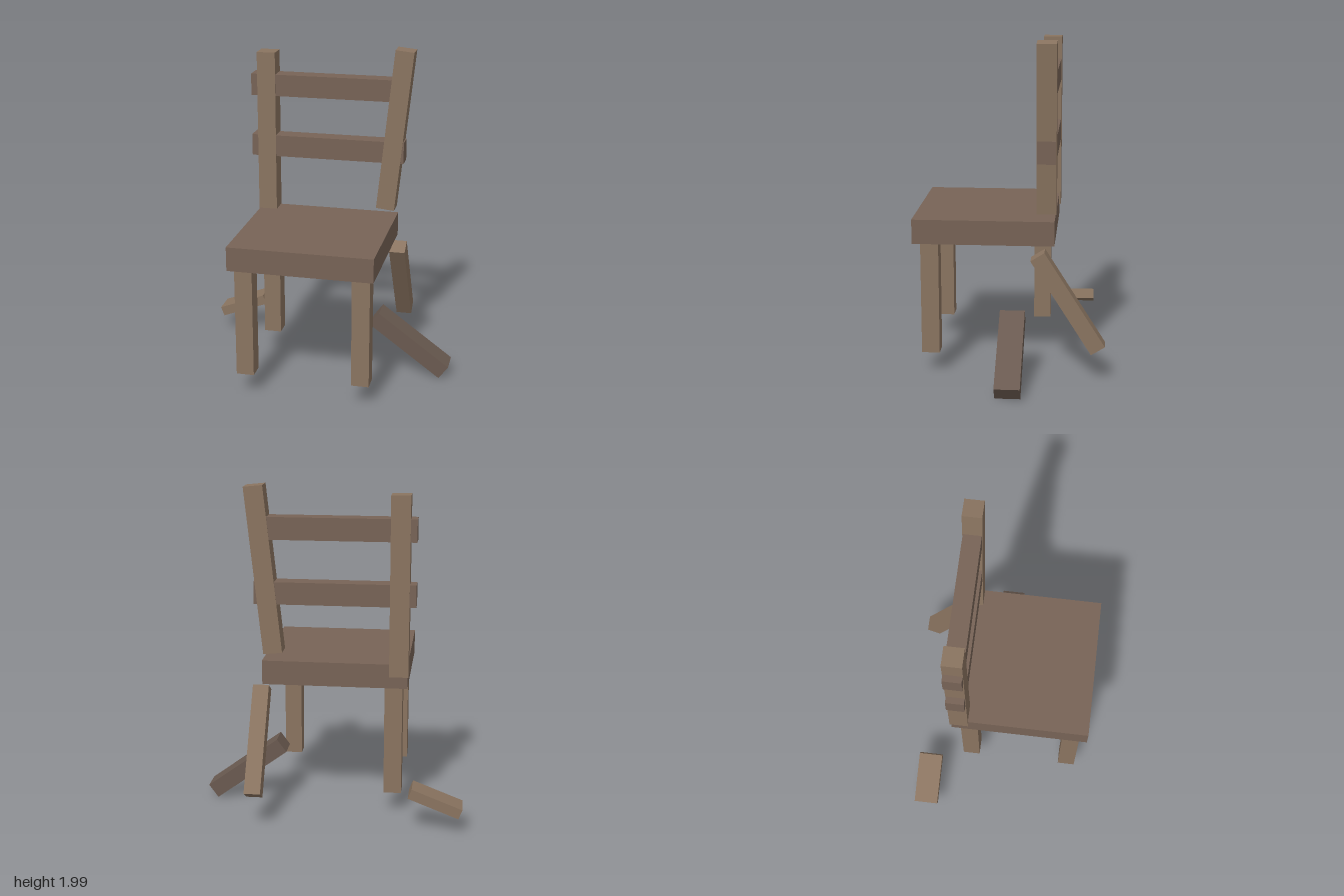
import * as THREE from 'three';

const wood = (color) => new THREE.MeshStandardMaterial({ color, flatShading: true });

export function createModel() {
  const chair = new THREE.Group();
  chair.name = 'brokenChair';
  const light = wood(0x8a7460);
  const medium = wood(0x776356);
  const dark = wood(0x6a5a50);

  // Adds one plank: size, centre and optional tilt
  const plank = (name, size, centre, material, tilt = [0, 0, 0]) => {
    const mesh = new THREE.Mesh(new THREE.BoxGeometry(...size), material);
    mesh.name = name;
    mesh.position.set(...centre);
    mesh.rotation.set(...tilt);
    chair.add(mesh);
  };

  // Seat
  plank('seat', [0.863, 0.145, 0.83], [-0.023, 0.887, 0.15], medium);

  // Three standing legs
  const legs = { frontRightLeg: [-0.37, 0.467], frontLeftLeg: [0.328, 0.467], backRightLeg: [-0.37, -0.163] };
  for (const [name, [x, z]] of Object.entries(legs)) {
    plank(name, [0.106, 0.68, 0.106], [x, 0.478, z], light);
  }

  // Snapped back leg, leaning away from the seat
  plank('brokenLeg', [0.097, 0.663, 0.095], [0.427, 0.488, -0.348], light, [0.565, 0, 0]);

  // Back posts: one upright, one knocked askew
  plank('rightPost', [0.113, 1.065, 0.113], [-0.403, 1.418, -0.218], light);
  plank('leaningLeftPost', [0.113, 0.99, 0.113], [0.393, 1.5, -0.218], light, [0, 0, -0.104]);

  // Back rails
  for (const [name, y] of [['lowerRail', 1.37], ['upperRail', 1.75]]) {
    plank(name, [0.948, 0.132, 0.107], [-0.024, y, -0.218], medium);
  }

  // Loose pieces on the ground
  plank('largeFragment', [0.541, 0.097, 0.148], [0.544, 0.205, -0.018], dark, [0, 0, -0.632]);
  plank('smallFragment', [0.317, 0.062, 0.148], [-0.638, 0.19, -0.418], light, [0, 0, 0.368]);

  return chair;
}
